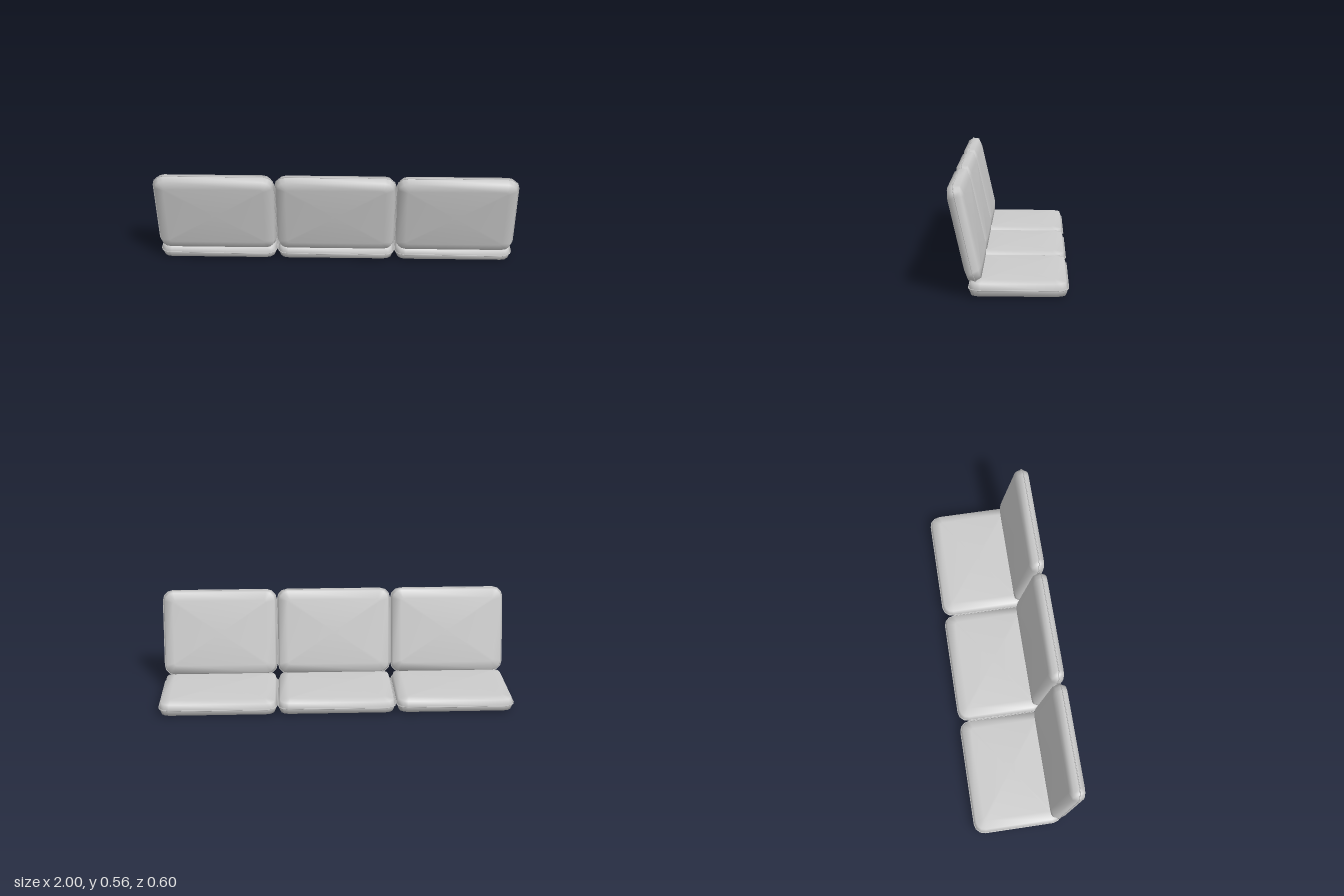
import * as THREE from 'three';

const HALF_W = 0.333, HALF_D = 0.252, CORNER = 0.06;

// Rounded rectangle ring, shrunk by an inset, at height y
function ring(inset, y) {
  const r = Math.max(CORNER - inset * 0.75, 0.01), steps = 3, points = [];
  const cx = HALF_W - inset - r, cz = HALF_D - inset - r;
  [[1, 1], [-1, 1], [-1, -1], [1, -1]].forEach(([sx, sz], q) => {
    for (let i = 0; i <= steps; i++) {
      const a = (q + i / steps) * Math.PI / 2;
      points.push([sx * cx + r * Math.cos(a), y, sz * cz + r * Math.sin(a)]);
    }
  });
  return points;
}

// Skin a top-to-bottom profile of [inset, y]; close it into a loop or cap both ends
function loft(profile, closed) {
  const rings = profile.map(([inset, y]) => ring(inset, y));
  const n = rings[0].length, m = rings.length, index = [];
  const positions = rings.flat(2);
  for (let k = 0; k < (closed ? m : m - 1); k++) {
    for (let j = 0; j < n; j++) {
      const a = k * n + j, b = k * n + (j + 1) % n;
      const c = ((k + 1) % m) * n + j, d = ((k + 1) % m) * n + (j + 1) % n;
      index.push(a, b, c, b, d, c);
    }
  }
  if (!closed) {
    const top = m * n, last = (m - 1) * n;
    positions.push(0, profile[0][1], 0, 0, profile[m - 1][1], 0);
    for (let j = 0; j < n; j++) {
      const next = (j + 1) % n;
      index.push(top, next, j, top + 1, last + j, last + next);
    }
  }
  const geometry = new THREE.BufferGeometry();
  geometry.setAttribute('position', new THREE.Float32BufferAttribute(positions, 3));
  geometry.setIndex(index);
  geometry.computeVertexNormals();
  return geometry;
}

export function createModel() {
  const model = new THREE.Group();
  model.name = 'threeSeatCushions';
  const material = new THREE.MeshStandardMaterial({ color: 0xcccccc });

  // Padded body and the thin piping around its seam
  const padGeometry = loft([[0.062, 0.0427], [0.015, 0.032], [0.004, 0], [0.015, -0.032], [0.062, -0.0427]], false);
  const pipingGeometry = loft([[0.003, 0.003], [0, 0], [0.003, -0.003], [0.006, 0]], true);

  function addCushion(name, x, y, z, tilt) {
    const cushion = new THREE.Group();
    cushion.name = name;
    const pad = new THREE.Mesh(padGeometry, material);
    pad.name = 'pad';
    const piping = new THREE.Mesh(pipingGeometry, material);
    piping.name = 'piping';
    cushion.add(pad, piping);
    cushion.position.set(x, y, z);
    cushion.rotation.x = tilt;
    model.add(cushion);
  }

  // Three seats side by side, each with a reclined backrest
  ['right', 'middle', 'left'].forEach((side, i) => {
    const x = (i - 1) * HALF_W * 2;
    addCushion(side + 'SeatCushion', x, 0.0427, -0.049, 0);
    addCushion(side + 'BackCushion', x, 0.319, 0.219, -1.349);
  });
  return model;
}
